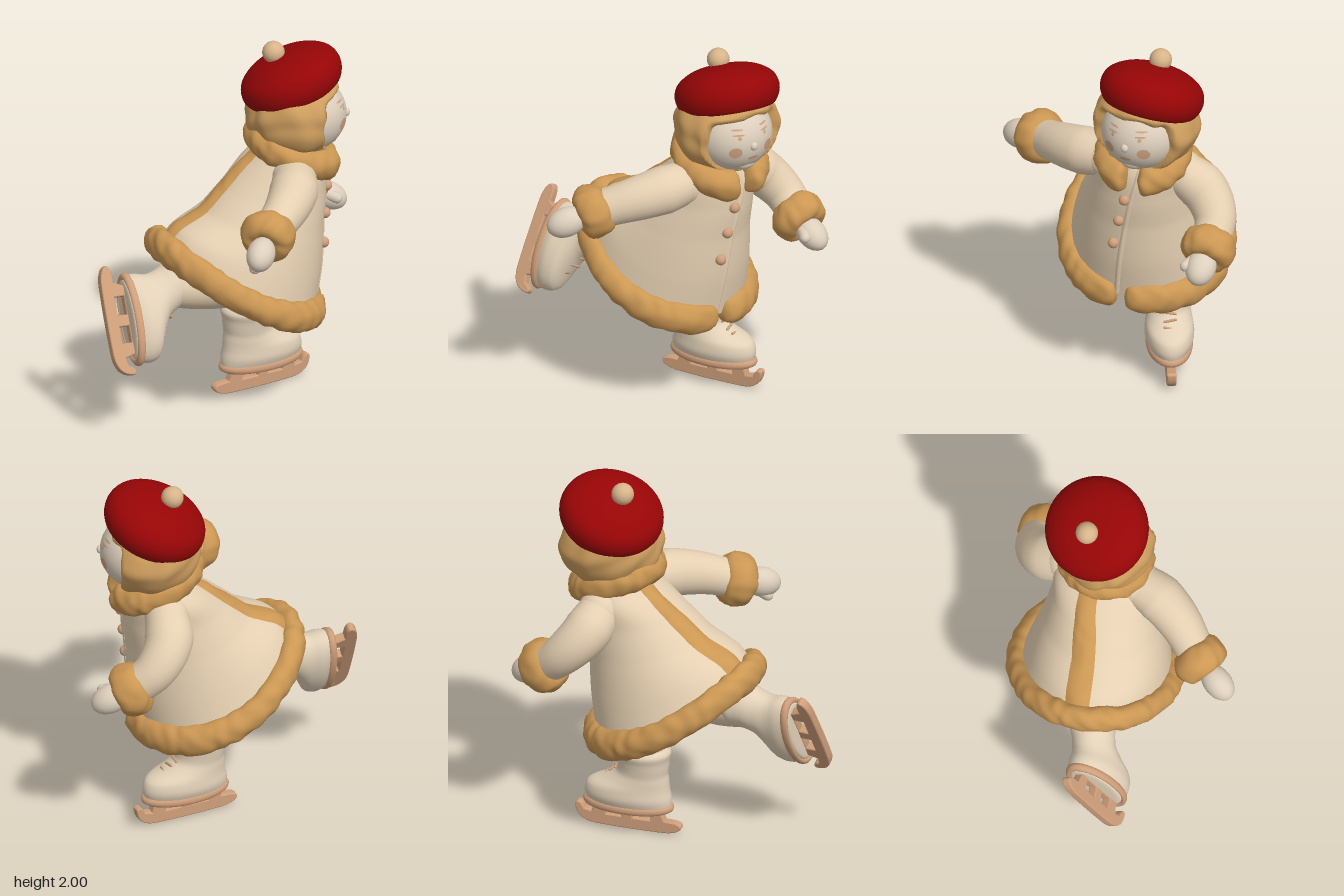
import * as THREE from 'three';
import { mergeVertices } from 'three/addons/utils/BufferGeometryUtils.js';

const V = (x, y, z) => new THREE.Vector3(x, y, z);
const TAU = Math.PI * 2;
const paint = (name, color) => Object.assign(new THREE.MeshStandardMaterial({ color }), { name });
const mat = {
  coat: paint('cream coat', 0xe4cfb1),
  boot: paint('pale boot', 0xe2d1b8),
  skin: paint('pale skin', 0xddcfbc),
  fur: paint('golden fur', 0xcb9753),
  hair: paint('golden hair', 0xcd9d5e),
  red: paint('beret red', 0x960506),
  skate: paint('skate tan', 0xcf9f7a),
  pompom: paint('pompom tan', 0xd8b48a),
  blush: paint('blush', 0xcfa27f),
};

function add(parent, name, geometry, material, pos) {
  const m = new THREE.Mesh(geometry, material);
  m.name = name;
  if (pos) m.position.copy(pos);
  parent.add(m);
  return m;
}

// Surface swept from fn(u, v), both 0..1
function surface(fn, nu, nv) {
  const p = [], idx = [];
  for (let j = 0; j <= nv; j++) for (let i = 0; i <= nu; i++) p.push(...fn(i / nu, j / nv).toArray());
  for (let j = 0; j < nv; j++) for (let i = 0; i < nu; i++) {
    const a = j * (nu + 1) + i, c = a + nu + 1;
    idx.push(a, a + 1, c, a + 1, c + 1, c);
  }
  const g = new THREE.BufferGeometry();
  g.setAttribute('position', new THREE.Float32BufferAttribute(p, 3));
  g.setIndex(idx);
  return weld(g);
}
function weld(g) {
  g.deleteAttribute('uv');
  g.deleteAttribute('normal');
  const w = mergeVertices(g, 1e-5);
  w.computeVertexNormals();
  return w;
}
// Moves every vertex along its normal to make tufts
function tufts(g, amp, f = 1.5) {
  g = weld(g);
  const p = g.attributes.position, n = g.attributes.normal;
  for (let i = 0; i < p.count; i++) {
    const x = p.getX(i) * f, y = p.getY(i) * f, z = p.getZ(i) * f;
    const d = amp * (Math.sin(34 * x + 3 * Math.sin(17 * y)) + Math.sin(37 * z + 2 * Math.sin(23 * x) + 11 * y)) * 0.6;
    p.setXYZ(i, p.getX(i) + n.getX(i) * d, p.getY(i) + n.getY(i) * d, p.getZ(i) + n.getZ(i) * d);
  }
  g.computeVertexNormals();
  return g;
}
// Tapered limb along a smooth path
function limb(points, radii) {
  const c = new THREE.CatmullRomCurve3(points), n = 24, fr = c.computeFrenetFrames(n, false);
  return surface((u, v) => {
    const k = Math.round(v * n), s = v * (radii.length - 1), i = Math.min(Math.floor(s), radii.length - 2);
    const r = THREE.MathUtils.lerp(radii[i], radii[i + 1], s - i);
    return c.getPointAt(v).addScaledVector(fr.normals[k], r * Math.cos(u * TAU))
      .addScaledVector(fr.binormals[k], r * Math.sin(u * TAU));
  }, 28, n);
}
const dir = (a) => V(Math.sin(a), 0, -Math.cos(a));

// Coat: tilted elliptical rings from neck to hem
const TILT = 0.36, SEAM = 0.66, BACK = Math.PI + 0.5;
const rings = [
  [0.02, 1.48, -0.29, 0.12, 0.12, 0], [0.02, 1.41, -0.28, 0.2, 0.16, 0], [0.01, 1.33, -0.25, 0.25, 0.22, 0],
  [0, 1.2, -0.19, 0.27, 0.28, 0.1], [-0.02, 1.04, -0.12, 0.31, 0.33, 0.3],
  [-0.055, 0.85, -0.04, 0.365, 0.4, 0.7], [-0.087, 0.67, 0.01, 0.408, 0.42, 1],
];
const centres = new THREE.CatmullRomCurve3(rings.map((r) => V(r[0], r[1], r[2])));
const spreads = new THREE.CatmullRomCurve3(rings.map((r) => V(r[3], r[4], r[5])));
function coatPoint(a, t, out = 0) {
  const c = centres.getPoint(t), s = spreads.getPoint(t), u = -Math.cos(a - TILT);
  const r = 1 / Math.hypot(u / s.y, Math.sin(a - TILT) / s.x);
  c.y += s.z * (0.215 * u + 0.08 * u * u);
  return c.addScaledVector(dir(a), r + out);
}
// Raised band running down the coat, its angle easing from a0 to a1
const band = (a0, a1, half, t0, t1, height) => surface((u, v) => {
  const t = t0 + (t1 - t0) * v, r = spreads.getPoint(t).x;
  return coatPoint(a0 + (a1 - a0) * v + (u - 0.5) * 2 * half / r, t, height * Math.sin(u * Math.PI) + 0.002);
}, 12, 60);
// Fur roll around the body, parted at the front seam
const furRoll = (path, w, h, gap) => surface((u, v) => {
  const a = SEAM + gap + u * (TAU - 2 * gap), e = Math.sqrt(Math.max(0, 1 - Math.abs(2 * u - 1) ** 40));
  return path(a).addScaledVector(dir(a), Math.cos(v * TAU) * w * e).add(V(0, -Math.sin(v * TAU) * h * e, 0));
}, 180, 22);

// Skate boot: toe along +z, blade resting on y = 0, shank leaning by lean
function makeSkate(name, lean) {
  const g = new THREE.Group();
  g.name = name;
  const slices = [[0.118, 0, 0.01, 0.01], [0.12, 0, 0.2, 0.09], [0.15, 0, 0.235, 0.115], [0.2, 0.005, 0.24, 0.132],
    [0.255, 0, 0.225, 0.128], [0.3, -0.045, 0.175, 0.118], [0.35, -0.075, 0.14, 0.113], [0.42, -0.08, 0.142, 0.122],
    [0.46, -0.08, 0.15, 0.132], [0.49, -0.08, 0.13, 0.115], [0.5, -0.08, 0.01, 0.01]];
  const mid = new THREE.CatmullRomCurve3(slices.map((s) => V(0, s[0], s[1] + lean * Math.max(0, s[0] - 0.28))));
  const rad = new THREE.CatmullRomCurve3(slices.map((s) => V(s[3], 0, s[2])));
  add(g, 'boot', surface((u, v) => {
    const r = rad.getPoint(v);
    return mid.getPoint(v).add(V(Math.cos(u * TAU) * r.x, 0, -Math.sin(u * TAU) * r.z));
  }, 32, 40), mat.boot);
  const welt = new THREE.TorusGeometry(1, 0.1, 10, 40).rotateX(Math.PI / 2).scale(0.114, 0.22, 0.229);
  add(g, 'soleWelt', welt, mat.skate, V(0, 0.142, 0.003));
  // Blade with upturned toe and open middle
  const s = new THREE.Shape();
  s.moveTo(-0.29, 0.04);
  s.quadraticCurveTo(-0.28, 0.01, -0.2, 0.003);
  s.quadraticCurveTo(0, -0.003, 0.18, 0.003);
  s.quadraticCurveTo(0.29, 0.01, 0.29, 0.1);
  s.quadraticCurveTo(0.27, 0.12, 0.25, 0.07);
  s.lineTo(0.2, 0.06);
  s.lineTo(0.18, 0.13);
  s.lineTo(-0.17, 0.13);
  s.lineTo(-0.2, 0.06);
  s.quadraticCurveTo(-0.29, 0.065, -0.29, 0.04);
  for (const [a, b] of [[-0.13, -0.02], [0.03, 0.13]]) {
    const h = new THREE.Path();
    h.moveTo(a, 0.055); h.lineTo(a, 0.12); h.lineTo(b, 0.12); h.lineTo(b, 0.055);
    s.holes.push(h);
  }
  const blade = new THREE.ExtrudeGeometry(s, { depth: 0.03, bevelSize: 0.006, bevelThickness: 0.01, bevelSegments: 2 });
  blade.translate(0, 0, -0.015).rotateY(-Math.PI / 2);
  add(g, 'blade', blade, mat.skate);
  for (let i = 0; i < 3; i++) {
    const lace = add(g, 'lace', new THREE.CapsuleGeometry(0.007, 0.06, 4, 8), mat.skate,
      V(0, 0.295 + i * 0.03, 0.128 - i * 0.03 + lean * (0.015 + i * 0.03)));
    lace.rotation.z = Math.PI / 2 + (i % 2 ? 0.2 : -0.2);
  }
  return g;
}
function orient(g, origin, toe, up) {
  const z = toe.normalize(), x = up.clone().cross(z).normalize(), y = z.clone().cross(x);
  g.quaternion.setFromRotationMatrix(new THREE.Matrix4().makeBasis(x, y, z));
  g.position.copy(origin);
}

// Sleeve, fur cuff and mitten
function makeArm(parent, name, path, cuffAt, handAt, thumb) {
  const g = new THREE.Group();
  g.name = name;
  parent.add(g);
  add(g, 'sleeve', limb([...path, cuffAt], [0.115, 0.13, 0.12, 0.107, 0.1]), mat.coat);
  add(g, 'shoulder', new THREE.SphereGeometry(0.12, 24, 16), mat.coat, path[0]);
  const d = handAt.clone().sub(cuffAt).normalize(), q = new THREE.Quaternion().setFromUnitVectors(V(0, 0, 1), d);
  const cuff = add(g, 'cuff', tufts(new THREE.TorusGeometry(0.083, 0.064, 20, 56).scale(1, 1, 1.35), 0.005), mat.fur, cuffAt);
  cuff.quaternion.copy(q);
  const hand = add(g, 'mitten', new THREE.SphereGeometry(1, 24, 16), mat.skin, handAt);
  hand.scale.set(0.075, 0.08, 0.11);
  hand.quaternion.copy(q);
  const t = add(g, 'thumb', new THREE.CapsuleGeometry(0.03, 0.06, 6, 12), mat.skin, handAt.clone().add(thumb));
  t.quaternion.setFromUnitVectors(V(0, 1, 0), d.clone().addScaledVector(thumb, 8).normalize());
}

function makeHead() {
  const g = new THREE.Group(), R = 0.215;
  g.name = 'head';
  g.position.set(0.07, 1.585, -0.37);
  g.rotation.y = Math.PI * 0.75;
  add(g, 'face', new THREE.SphereGeometry(R, 40, 28).scale(1, 0.95, 1), mat.skin);
  // Thin painted ovals that follow the face
  const spot = (name, x, y, w, h, m) => {
    const c = new THREE.CircleGeometry(1, 20), p = c.attributes.position;
    for (let i = 0; i < p.count; i++) {
      const px = x + p.getX(i) * w, py = y + p.getY(i) * h;
      p.setXYZ(i, px, py, Math.sqrt(R * R - px * px - (py / 0.95) ** 2) + 0.004);
    }
    c.computeVertexNormals();
    add(g, name, c, m);
  };
  for (const s of [-1, 1]) {
    spot('eyebrow', s * 0.08, 0.1, 0.03, 0.005, mat.blush);
    spot('eyelid', s * 0.08, 0.073, 0.03, 0.005, mat.blush);
    spot('iris', s * 0.078, 0.057, 0.01, 0.01, mat.blush);
    spot('cheek', s * 0.1, -0.025, 0.032, 0.032, mat.blush);
  }
  spot('lips', 0, -0.07, 0.032, 0.011, mat.blush);
  add(g, 'nose', new THREE.SphereGeometry(0.022, 16, 12).scale(1, 1.1, 1), mat.skin, V(0, 0, R - 0.005));
  add(g, 'chin', new THREE.SphereGeometry(0.06, 20, 14).scale(1.2, 0.8, 1), mat.skin, V(0, -0.125, 0.11));
  // Hair: full bob pulled in around the face
  const ball = new THREE.SphereGeometry(1, 110, 72), p = ball.attributes.position, S = THREE.MathUtils.smoothstep;
  for (let i = 0; i < p.count; i++) {
    const v = V(p.getX(i), p.getY(i), p.getZ(i));
    const open = S(v.z, 0.5, 0.62) * (1 - S(v.y, 0.5 - 0.2 * Math.abs(v.x), 0.64 - 0.15 * Math.abs(v.x)));
    const k = 1 - 0.35 * open;
    p.setXYZ(i, v.x * 0.284 * k, v.y * 0.24 * k, v.z * 0.275 * k);
  }
  add(g, 'hair', tufts(ball, 0.008, 0.9), mat.hair, V(0, 0.015, -0.05));
  return g;
}

export function createModel() {
  const model = new THREE.Group();
  model.name = 'skatingChild';

  // Coat and trims
  add(model, 'coat', surface((u, v) => coatPoint(u * TAU, v), 72, 48), mat.coat);
  add(model, 'coatLining', surface((u, v) => coatPoint(u * TAU, 1).lerp(V(-0.08, 0.76, 0.01), v), 72, 8), mat.coat);
  add(model, 'backTrim', tufts(band(BACK + 0.18, BACK, 0.062, 0.12, 0.99, 0.02), 0.002), mat.fur);
  add(model, 'frontPlacket', band(0.5, 0.72, 0.014, 0.25, 0.99, 0.008), mat.coat);
  add(model, 'hemFur', tufts(furRoll((a) => coatPoint(a, 1), 0.066, 0.088, 0.04), 0.005), mat.fur);
  add(model, 'collarFur', tufts(furRoll((a) => {
    const c = Math.cos(a - SEAM);
    return V(0.03, 1.405 - 0.08 * c, -0.29).addScaledVector(dir(a), 0.182 + 0.012 * c);
  }, 0.08, 0.09, 0.15), 0.005), mat.fur);
  for (const [t, a] of [[0.5, 0.7], [0.63, 0.74], [0.745, 0.78]]) {
    add(model, 'button', new THREE.SphereGeometry(0.03, 16, 12), mat.skate, coatPoint(a, t, 0.004));
  }

  // Arms
  makeArm(model, 'trailingArm', [V(0.19, 1.315, -0.14), V(0.275, 1.3, -0.04), V(0.35, 1.265, 0.11)],
    V(0.405, 1.205, 0.31), V(0.47, 1.16, 0.44), V(-0.02, -0.055, 0.01));
  makeArm(model, 'leadingArm', [V(-0.15, 1.28, -0.38), V(-0.25, 1.19, -0.46), V(-0.27, 1.08, -0.57)],
    V(-0.195, 0.97, -0.675), V(-0.125, 0.915, -0.76), V(0.055, 0.02, 0.03));

  // Legs and skates
  const standing = makeSkate('standingSkate', 0);
  orient(standing, V(-0.13, 0, -0.23), V(0.28, 0, -0.96), V(0, 1, 0));
  const raised = makeSkate('raisedSkate', -0.6);
  orient(raised, V(-0.305, 0.65, 0.795), V(0.435, -0.87, 0.23), V(0.42, -0.03, -0.9));
  model.add(standing, raised);
  add(model, 'standingLeg', limb([V(-0.15, 0.44, -0.155), V(-0.13, 0.6, -0.14), V(-0.1, 0.82, -0.1)], [0.12, 0.14, 0.16]), mat.coat);
  add(model, 'raisedLeg', limb([V(-0.215, 0.765, 0.42), V(-0.11, 0.75, 0.25), V(0.03, 0.77, 0.05)], [0.115, 0.14, 0.16]), mat.coat);

  // Head, beret and pompom
  model.add(makeHead());
  const beret = new THREE.Group();
  beret.name = 'beret';
  beret.position.set(0, 1.78, -0.33);
  beret.quaternion.setFromUnitVectors(V(0, 1, 0), V(-0.35, 1, 0.24).normalize());
  const outline = [[0, -0.05], [0.13, -0.065], [0.22, -0.1], [0.265, -0.06], [0.28, 0.005], [0.255, 0.07],
    [0.18, 0.12], [0.09, 0.142], [0, 0.148]].map(([x, y]) => new THREE.Vector2(x, y));
  const profile = new THREE.SplineCurve(outline).getPoints(40);
  profile.forEach((q) => { q.x = Math.max(0, q.x); });
  add(beret, 'cap', new THREE.LatheGeometry(profile, 56), mat.red);
  add(beret, 'pompom', new THREE.SphereGeometry(0.06, 24, 16), mat.pompom, V(-0.015, 0.175, 0.025));
  model.add(beret);
  return model;
}
